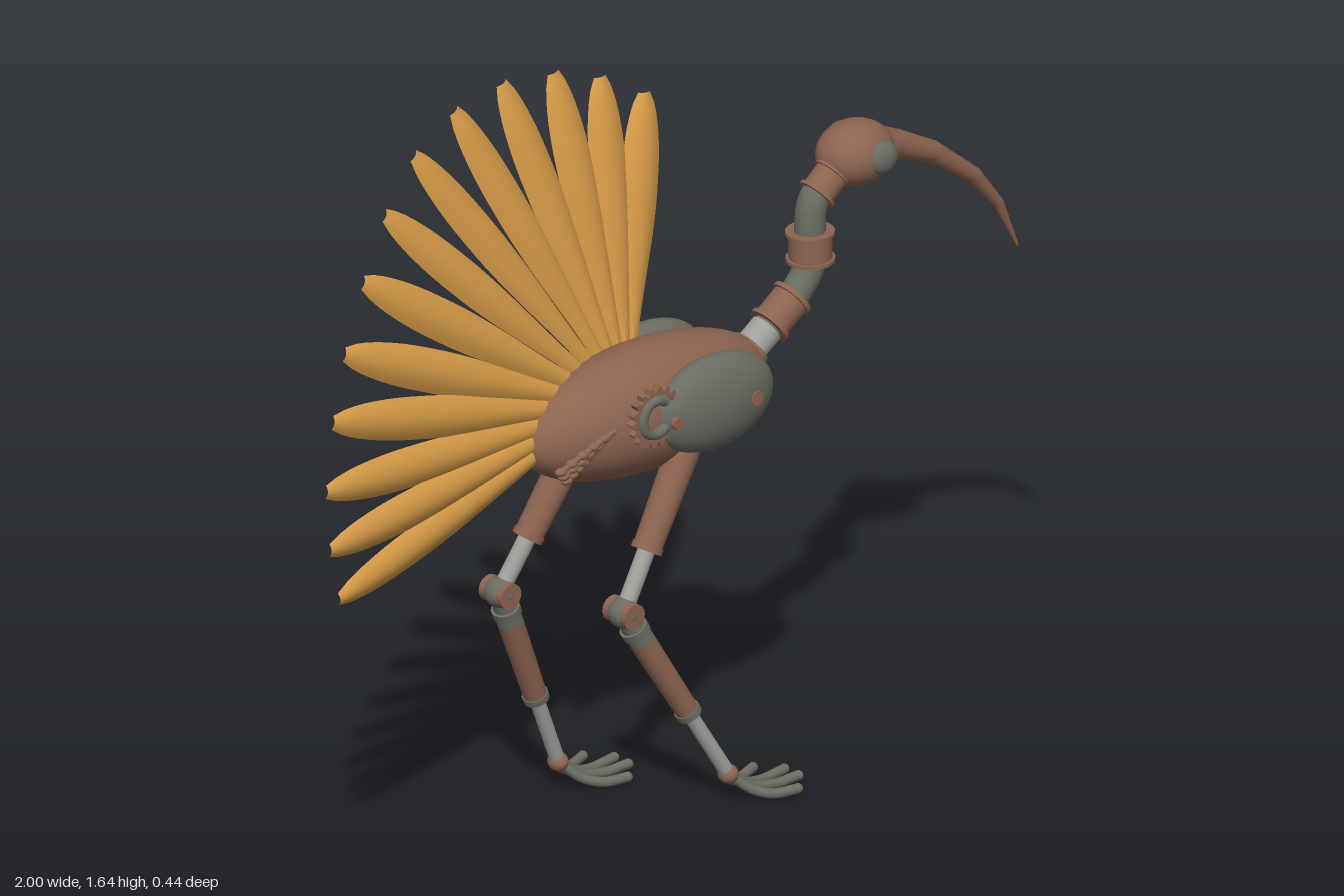
import * as THREE from 'three';

const V = (x, y, z) => new THREE.Vector3(x, y, z);
const mat = (name, color, side = THREE.FrontSide) => {
  const m = new THREE.MeshStandardMaterial({ color, side });
  m.name = name;
  return m;
};

export function createModel() {
  const bird = new THREE.Group();
  bird.name = 'mechanicalBird';
  const copper = mat('copperBrown', 0x8d6450);
  const iron = mat('greenGreyIron', 0x696d62);
  const steel = mat('paleSteel', 0xa0a09d);
  const gold = mat('featherGold', 0xdda04a, THREE.DoubleSide);
  const MID = -0.012;

  const add = (name, geo, m, parent = bird) => {
    const mesh = new THREE.Mesh(geo, m);
    mesh.name = name;
    parent.add(mesh);
    return mesh;
  };
  // Cylinder running from a to b
  const rod = (name, a, b, r1, r2, m, parent = bird) => {
    const d = b.clone().sub(a);
    const mesh = add(name, new THREE.CylinderGeometry(r2, r1, d.length(), 20), m, parent);
    mesh.position.copy(a).addScaledVector(d, 0.5);
    mesh.quaternion.setFromUnitVectors(V(0, 1, 0), d.normalize());
    return mesh;
  };
  const ball = (name, p, rx, ry, rz, m, parent = bird) => {
    const mesh = add(name, new THREE.SphereGeometry(1, 36, 24), m, parent);
    mesh.position.copy(p);
    mesh.scale.set(rx, ry, rz);
    return mesh;
  };
  // Disc with its axis along z
  const disc = (name, p, r, t, m, parent = bird) =>
    rod(name, V(p.x, p.y, p.z - t / 2), V(p.x, p.y, p.z + t / 2), r, r, m, parent);

  // Body
  ball('body', V(-0.04, 0.88, MID), 0.33, 0.138, 0.125, copper);

  // Toothed gear outline
  const gearShape = new THREE.Shape();
  const teeth = 18;
  for (let i = 0; i < teeth * 4; i++) {
    const a = (i / (teeth * 4)) * Math.PI * 2;
    const r = i % 4 < 2 ? 0.068 : 0.058;
    gearShape[i ? 'lineTo' : 'moveTo'](r * Math.cos(a), r * Math.sin(a));
  }
  gearShape.holes.push(new THREE.Path().absarc(0, 0, 0.05, 0, Math.PI * 2, true));
  const gearGeo = new THREE.ExtrudeGeometry(gearShape, { depth: 0.02, bevelEnabled: false, curveSegments: 24 });
  gearGeo.translate(0, 0, -0.01);

  // Side shells, bolts, gears and eyes, mirrored
  for (const s of [1, -1]) {
    ball('sideShell', V(0.062, 0.893, MID + s * 0.107), 0.16, 0.105, 0.057, iron);
    disc('shellBolt', V(0.14, 0.893, MID + s * 0.154), 0.016, 0.012, copper);
    disc('shellBolt', V(-0.065, 0.893, MID + s * 0.138), 0.014, 0.02, copper);
    add('gear', gearGeo, copper).position.set(-0.11, 0.915, MID + s * 0.119);
    const ring = add('gearRing', new THREE.TorusGeometry(0.038, 0.012, 10, 28, 4.7), iron);
    ring.position.set(-0.11, 0.915, MID + s * 0.126);
    ring.rotation.z = 0.8;
    ball('eye', V(0.567, 1.28, MID + s * 0.066), 0.037, 0.037, 0.024, iron);
  }

  // Ribbed stubs low on the left flank
  for (let i = 0; i < 3; i++) {
    const a = V(-0.2 - i * 0.025, 0.905 - i * 0.018, 0.088 - i * 0.004);
    const b = V(-0.345 + i * 0.008, 0.85 - i * 0.012, 0.082);
    rod('flankStub', a, b, 0.008, 0.006, copper);
    for (let k = 1; k < 6; k++) ball('flankStubBead', a.clone().lerp(b, k / 5), 0.014, 0.009, 0.011, copper);
  }

  // Neck: iron tube with copper collars
  const neck = new THREE.CatmullRomCurve3([
    [0.22, 0.89], [0.3, 0.945], [0.38, 1.0], [0.425, 1.06], [0.425, 1.13], [0.435, 1.2], [0.52, 1.27],
  ].map(([x, y]) => V(x, y, MID)));
  add('neckTube', new THREE.TubeGeometry(neck, 48, 0.033, 18), iron);
  [[0.21, 0.37, 0.041], [0.53, 0.66, 0.046], [0.81, 0.93, 0.037]].forEach(([t0, t1, r]) => {
    const a = neck.getPointAt(t0), b = neck.getPointAt(t1);
    rod('neckCollar', a, b, r, r, copper);
    for (const [p, q] of [[a, b], [b, a]])
      rod('neckFlange', p, p.clone().lerp(q, 0.12), r + 0.006, r + 0.006, copper);
  });
  rod('neckSocket', neck.getPointAt(0.02), neck.getPointAt(0.1), 0.05, 0.045, copper);
  rod('neckPin', neck.getPointAt(0.1), neck.getPointAt(0.2), 0.036, 0.036, steel);

  // Head and jointed curved beak
  ball('head', V(0.55, 1.275, MID), 0.088, 0.07, 0.076, copper);
  const beak = [[0.6, 1.275, 0.046], [0.66, 1.26, 0.032], [0.76, 1.213, 0.024], [0.875, 1.125, 0.018], [0.945, 1.04, 0.012], [0.997, 0.93, 0.003]];
  for (let i = 0; i < beak.length - 1; i++) {
    const [x, y, r] = beak[i], [x2, y2, r2] = beak[i + 1];
    rod('beakSegment', V(x, y, MID), V(x2, y2, MID), r, r2, copper);
    if (i) ball('beakJoint', V(x, y, MID), r, r, r, copper);
  }

  // Legs
  const leg = (name, hip, knee, ankle) => {
    const g = new THREE.Group();
    g.name = name;
    bird.add(g);
    const at = (a, b, t) => a.clone().lerp(b, t);
    rod('thigh', hip, at(hip, knee, 0.62), 0.036, 0.031, copper, g);
    rod('thighCuff', at(hip, knee, 0.59), at(hip, knee, 0.63), 0.034, 0.034, copper, g);
    rod('thighPiston', at(hip, knee, 0.6), knee, 0.019, 0.019, steel, g);
    ball('kneeHub', knee, 0.033, 0.033, 0.036, iron, g);
    disc('kneeCap', knee, 0.028, 0.07, copper, g);
    rod('shinSocket', knee, at(knee, ankle, 0.17), 0.022, 0.028, iron, g);
    rod('shinRing', at(knee, ankle, 0.09), at(knee, ankle, 0.13), 0.031, 0.031, iron, g);
    rod('shin', at(knee, ankle, 0.17), at(knee, ankle, 0.62), 0.028, 0.025, copper, g);
    rod('shinCuff', at(knee, ankle, 0.6), at(knee, ankle, 0.63), 0.028, 0.028, iron, g);
    rod('shinPiston', at(knee, ankle, 0.6), ankle, 0.016, 0.016, steel, g);
    ball('ankle', ankle, 0.021, 0.021, 0.024, copper, g);
    for (const [dx, dz] of [[0.13, 0.07], [0.174, 0.022], [0.174, -0.022], [0.13, -0.07]]) {
      const path = new THREE.CatmullRomCurve3([
        ankle.clone(),
        V(ankle.x + dx * 0.3, 0.026, ankle.z + dz * 0.4),
        V(ankle.x + dx * 0.6, 0.012, ankle.z + dz * 0.75),
        V(ankle.x + dx, 0.014, ankle.z + dz),
      ]);
      add('toe', new THREE.TubeGeometry(path, 14, 0.011, 10), iron, g);
      ball('toeTip', path.getPoint(1), 0.011, 0.011, 0.011, iron, g);
    }
  };
  leg('leftLeg', V(0.005, 0.8, 0.072), V(-0.182, 0.487, 0.093), V(0.065, 0.063, 0.14));
  leg('rightLeg', V(-0.165, 0.8, -0.083), V(-0.343, 0.513, -0.11), V(-0.16, 0.065, -0.136));

  // Feather fan: tips as x, y, z
  const tips = [
    [0.072, 1.515, -0.13], [-0.033, 1.575, -0.15], [-0.15, 1.615, -0.163], [-0.29, 1.632, -0.166],
    [-0.44, 1.622, -0.145], [-0.587, 1.578, -0.105], [-0.72, 1.503, -0.045], [-0.833, 1.405, 0.015],
    [-0.917, 1.28, 0.052], [-0.972, 1.15, 0.078], [-0.997, 1.003, 0.086], [-0.99, 0.87, 0.09], [-0.955, 0.745, 0.078],
  ].map((p) => V(...p));

  // Domed blade swept along its quill
  const feather = (base, tip, across) => {
    const d = tip.clone().sub(base);
    const L = d.length();
    d.normalize();
    const w = across.clone().addScaledVector(d, -across.dot(d)).normalize();
    const n = w.clone().cross(d);
    if (n.z < 0) { w.negate(); n.negate(); }
    const U = 26, S = 8, pos = [], idx = [];
    for (let i = 0; i <= U; i++) {
      const u = i / U;
      const round = Math.sqrt(1 - 0.9 * Math.max(0, (u - 0.7) / 0.3) ** 2);
      const half = 0.046 * (0.3 + 0.7 * THREE.MathUtils.smoothstep(u, 0, 0.65)) * round;
      for (let j = 0; j <= S; j++) {
        const s = (j / S) * 2 - 1;
        pos.push(...base.clone().addScaledVector(d, u * L).addScaledVector(w, s * half)
          .addScaledVector(n, 0.4 * half * (1 - s * s)).toArray());
        if (i < U && j < S) {
          const a = i * (S + 1) + j, c = a + S + 1;
          idx.push(a, a + 1, c, a + 1, c + 1, c);
        }
      }
    }
    const geo = new THREE.BufferGeometry();
    geo.setAttribute('position', new THREE.Float32BufferAttribute(pos, 3));
    geo.setIndex(idx);
    geo.computeVertexNormals();
    add('feather', geo, gold);
    rod('featherQuill', base, base.clone().addScaledVector(d, L * 0.93), 0.008, 0.004, gold);
  };
  tips.forEach((tip, i) => {
    const t = i / (tips.length - 1);
    const base = V(-0.005 - 0.2 * t, 0.94 - 0.05 * t, -0.085 + 0.075 * t);
    const across = tips[Math.max(i - 1, 0)].clone().sub(tips[Math.min(i + 1, tips.length - 1)]);
    feather(base, tip, across);
  });

  return bird;
}
